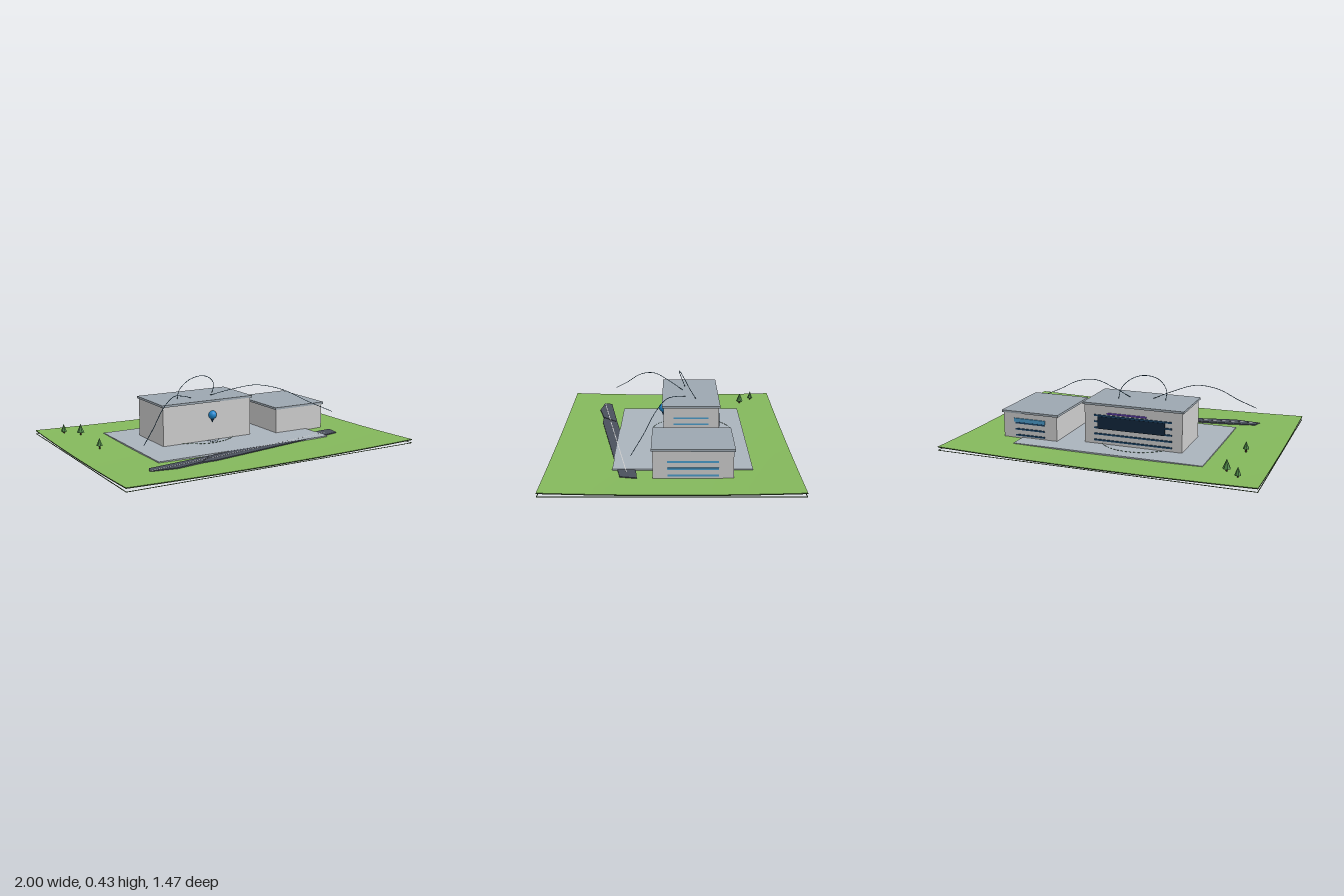
import * as THREE from 'three';

const mat = (color, extra = {}) => new THREE.MeshStandardMaterial({ color, ...extra });
const M = {
  grass: mat(0x84b85c), edge: mat(0x3f5a30), plaza: mat(0xaab3bc), road: mat(0x4a505c),
  wall: mat(0xcccccc), roof: mat(0x9ca7b0), glass: mat(0x4a9ac8), dark: mat(0x12263c),
  purple: mat(0x6a45c0), wire: mat(0x1f4a66), line: mat(0xe8e8e8), blue: mat(0x1e88d0),
  navy: mat(0x1b4468), leaf: mat(0x4f8a48, { flatShading: true }), trunk: mat(0x5a4030), ring: mat(0x2f6b3a),
};

// Shallow dish of the lawn, with a slight dip beside the main building
const lawnHeight = (x, z) =>
  0.012 + 0.013 * x * x + 0.022 * z * z - 0.004 * Math.exp(-((x - 0.32) ** 2 + z * z) / 0.06);

export function createModel() {
  const g = new THREE.Group();

  const add = (name, geo, m, x = 0, y = 0, z = 0, parent = g) => {
    const mesh = new THREE.Mesh(geo, m);
    mesh.name = name;
    mesh.position.set(x, y, z);
    parent.add(mesh);
    return mesh;
  };
  // Box given by its extents on each axis
  const box = (name, m, [x0, x1], [y0, y1], [z0, z1], parent = g) =>
    add(name, new THREE.BoxGeometry(x1 - x0, y1 - y0, z1 - z0), m,
      (x0 + x1) / 2, (y0 + y1) / 2, (z0 + z1) / 2, parent);

  // Lawn slab
  const lawn = new THREE.BoxGeometry(2, 0.006, 1.47, 20, 1, 14);
  const p = lawn.attributes.position;
  for (let i = 0; i < p.count; i++) {
    p.setY(i, p.getY(i) - 0.003 + lawnHeight(p.getX(i), p.getZ(i)));
  }
  lawn.computeVertexNormals();
  add('lawn', lawn, [M.edge, M.edge, M.grass, M.edge, M.edge, M.edge]);

  // Thin border frame below the lawn
  for (const s of [-1, 1]) {
    box('borderStrip', M.edge, [-1, 1], [0.011, 0.014], [s * 0.733 - 0.002, s * 0.733 + 0.002]);
    box('borderStrip', M.edge, [s * 0.998 - 0.002, s * 0.998 + 0.002], [0.011, 0.014], [-0.735, 0.735]);
  }

  // Plaza
  box('plaza', M.plaza, [-0.62, 0.615], [0.005, 0.026], [-0.475, 0.35]);

  // Flat plates outlined in plan by [x, z] corners
  const plate = (name, m, pts, y0, y1) => {
    const shape = new THREE.Shape(pts.map(([x, z]) => new THREE.Vector2(x, -z)));
    const geo = new THREE.ExtrudeGeometry(shape, { depth: y1 - y0, bevelEnabled: false });
    geo.rotateX(-Math.PI / 2);
    return add(name, geo, m, 0, y0, 0);
  };
  plate('road', M.road, [[-0.75, 0.5], [-0.58, 0.52], [-0.4, 0.48], [-0.3, 0.48], [0.73, 0.3],
    [0.75, 0.2], [0.64, 0.21], [0.6, 0.228], [-0.3, 0.38], [-0.73, 0.445]], 0.0195, 0.0255);
  plate('roadEnd', M.road, [[-0.75, 0.5], [-0.58, 0.52], [-0.4, 0.48], [-0.3, 0.385], [-0.73, 0.445]], 0.02, 0.0285);
  plate('roadFooting', M.road, [[-0.74, 0.5], [-0.58, 0.515], [-0.1, 0.435], [-0.08, 0.425], [-0.73, 0.45]], 0, 0.02);
  plate('roadFooting', M.road, [[0.65, 0.3], [0.73, 0.29], [0.74, 0.21], [0.66, 0.215]], 0.008, 0.02);
  plate('roadLine', M.line, [[-0.745, 0.5], [-0.3, 0.427], [-0.3, 0.422], [-0.745, 0.495]], 0.0285, 0.0292);
  plate('roadLine', M.line, [[-0.3, 0.427], [0.66, 0.267], [0.66, 0.262], [-0.3, 0.422]], 0.0255, 0.0262);

  // Buildings: walls, overhanging roof and window bands on the left and back sides
  const building = (name, [x0, x1], [z0, z1], top, levels, inset) => {
    const b = new THREE.Group();
    b.name = name;
    g.add(b);
    box('walls', M.wall, [x0, x1], [0.012, top], [z0, z1], b);
    box('roof', M.roof, [x0 - 0.01, x1 + 0.01], [top - 0.002, top + 0.012], [z0 - 0.008, z1 + 0.008], b);
    for (const y of levels) {
      box('sideWindowBand', M.glass, [x1, x1 + 0.006], [y - 0.005, y + 0.005], [z0 + inset, z1 - inset], b);
      box('backWindowBand', M.navy, [x0 + inset, x1 - inset], [y - 0.005, y + 0.005], [z0 - 0.006, z0], b);
    }
    return b;
  };
  const main = building('mainBuilding', [-0.44, 0.2], [-0.295, 0.055], 0.277, [0.05, 0.09, 0.13, 0.17, 0.21], 0.065);
  box('backScreen', M.dark, [-0.33, 0.11], [0.125, 0.205], [-0.304, -0.294], main);
  box('backSignBand', M.purple, [-0.21, 0.05], [0.222, 0.232], [-0.303, -0.294], main);
  const annex = building('sideBuilding', [0.37, 0.745], [-0.352, 0.112], 0.187, [0.04, 0.08, 0.122], 0.085);
  box('backPanel', M.glass, [0.45, 0.67], [0.128, 0.152], [-0.36, -0.35], annex);
  box('plinth', M.plaza, [0.61, 0.735], [0.008, 0.03], [-0.345, 0.105], annex);

  // Marker pin on the front wall
  const pin = new THREE.Group();
  pin.name = 'markerPin';
  pin.position.set(-0.09, 0, 0.06);
  g.add(pin);
  add('pinHead', new THREE.SphereGeometry(0.027, 24, 16), M.blue, 0, 0.192, 0, pin);
  const tip = add('pinTip', new THREE.ConeGeometry(0.016, 0.04, 16), M.navy, 0, 0.16, 0, pin);
  tip.rotation.x = Math.PI;

  // Dashed rings on the plaza
  const dashedRing = (name, m, x, z, r, n) => {
    for (let i = 0; i < n; i++) {
      const ring = new THREE.TorusGeometry(r, 0.0018, 4, 3, (Math.PI * 2 / n) * 0.6);
      ring.rotateX(Math.PI / 2);
      add(name, ring, m, x, 0.0285, z).rotation.y = (i / n) * Math.PI * 2;
    }
  };
  dashedRing('largeRingDash', M.ring, -0.12, -0.13, 0.262, 60);
  dashedRing('smallRingDash', M.navy, -0.09, 0.06, 0.042, 16);

  // Thin arcs over the roof
  const wire = (name, pts) => {
    const curve = new THREE.CatmullRomCurve3(pts.map((q) => new THREE.Vector3(...q)));
    add(name, new THREE.TubeGeometry(curve, 60, 0.002, 6), M.wire);
  };
  wire('rightArc', [[-0.74, 0.155, 0.41], [-0.64, 0.222, 0.325], [-0.52, 0.312, 0.222],
    [-0.4, 0.35, 0.12], [-0.29, 0.328, 0.026], [-0.15, 0.28, -0.095]]);
  wire('leftArc', [[0.74, 0.155, 0.235], [0.58, 0.232, 0.165], [0.42, 0.315, 0.1],
    [0.26, 0.35, 0.035], [0.12, 0.328, -0.025], [-0.06, 0.28, -0.1]]);
  wire('roofLoop', [[-0.265, 0.285, -0.09], [-0.262, 0.35, -0.065], [-0.205, 0.41, -0.047],
    [-0.11, 0.43, -0.055], [-0.03, 0.405, -0.08], [0.022, 0.35, -0.115], [0.028, 0.285, -0.155]]);

  // Conifers
  for (const [x, z, top, r] of [[-0.855, -0.59, 0.092, 0.02], [-0.77, -0.505, 0.1, 0.025], [-0.795, -0.12, 0.09, 0.02]]) {
    const tree = new THREE.Group();
    tree.name = 'tree';
    tree.position.set(x, 0, z);
    g.add(tree);
    add('trunk', new THREE.CylinderGeometry(0.005, 0.005, 0.03, 6), M.trunk, 0, 0.032, 0, tree);
    add('foliage', new THREE.ConeGeometry(r, top - 0.042, 7), M.leaf, 0, (top + 0.042) / 2, 0, tree);
  }
  return g;
}
